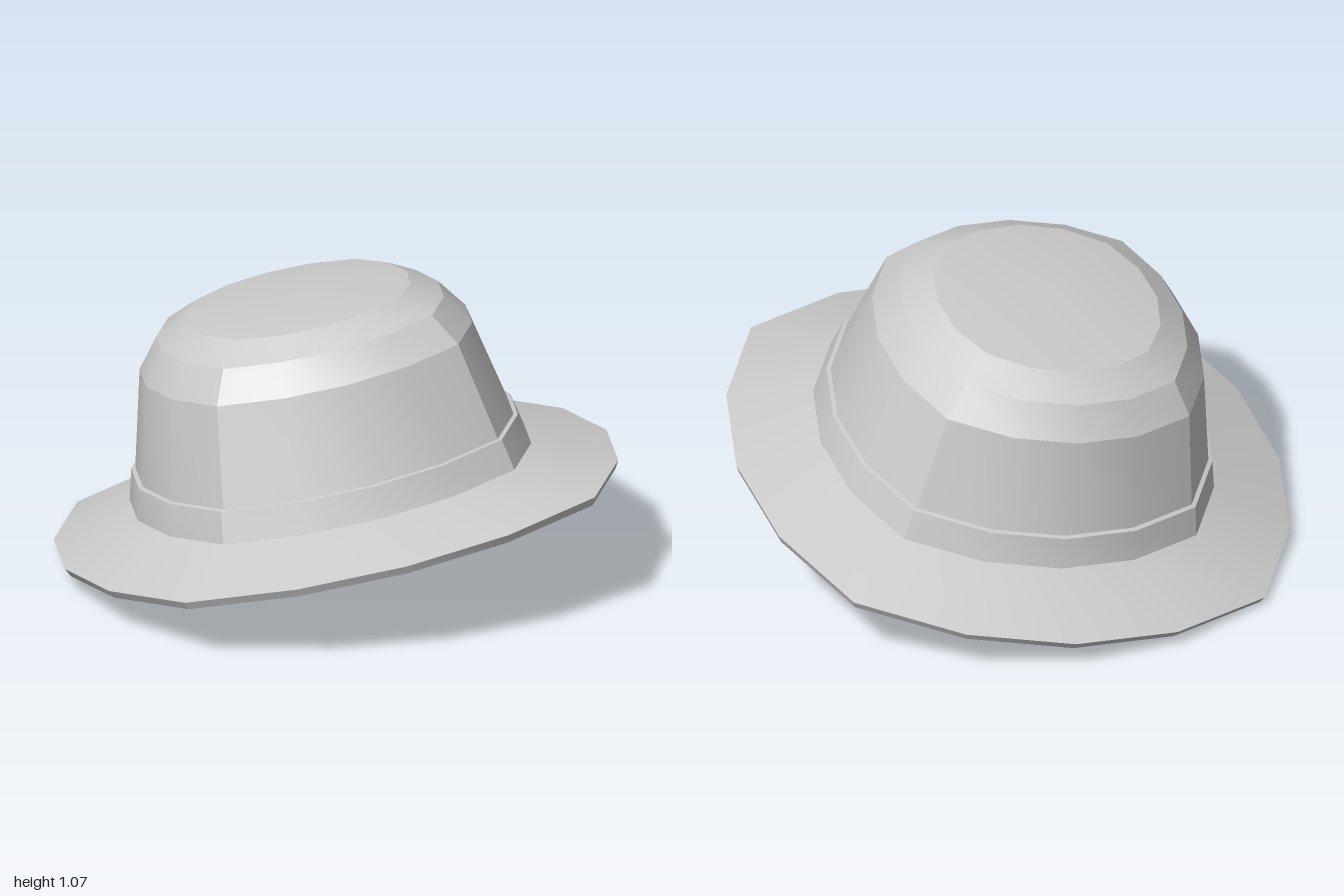
import * as THREE from 'three';
import { toCreasedNormals } from 'three/addons/utils/BufferGeometryUtils.js';

const SIDES = 16;
const CREASE = 0.33; // keeps the four diagonal corners and the rings sharp

// Sixteen-sided lathe whose diagonals are pushed out into a rounded square;
// the rings get rounder towards the top of the crown.
function squaredLathe(name, profile) {
  const points = profile.map(([r, h]) => new THREE.Vector2(r, h));
  const lathe = new THREE.LatheGeometry(points, SIDES);
  const pos = lathe.attributes.position;
  for (let i = 0; i < pos.count; i++) {
    const x = pos.getX(i), z = pos.getZ(i);
    const squareness = 0.07 * THREE.MathUtils.smoothstep(Math.hypot(x, z), 0.3, 0.52);
    const scale = 1 + squareness * Math.sin(2 * Math.atan2(x, z)) ** 4;
    pos.setX(i, x * scale);
    pos.setZ(i, z * scale);
  }
  const mesh = new THREE.Mesh(
    toCreasedNormals(lathe, CREASE),
    new THREE.MeshStandardMaterial({ color: 0xcccccc })
  );
  mesh.name = name;
  return mesh;
}

export function createModel() {
  const model = new THREE.Group();
  model.name = 'bucketHat';

  // the whole hat leans back and to its right
  const hat = new THREE.Group();
  hat.name = 'tiltedHat';
  hat.position.y = 0.24;
  hat.quaternion.setFromUnitVectors(
    new THREE.Vector3(0, 1, 0),
    new THREE.Vector3(-0.16, 1, -0.13).normalize()
  );
  model.add(hat);

  // profiles are [radius, height]; outer faces run upwards
  hat.add(
    // sloping brim with a thin rim and a flat lip around the opening
    squaredLathe('brim', [
      [0.6, 0.075], [0.7, 0.07], [0.995, -0.03], [1.01, 0], [0.71, 0.11],
    ]),
    // crown wall, two bevel rings and a shallow top
    squaredLathe('crown', [
      [0.705, 0.1], [0.595, 0.58], [0.515, 0.69], [0.41, 0.755], [0, 0.8],
    ]),
    // raised band at the foot of the crown
    squaredLathe('hatBand', [
      [0.72, 0.1], [0.692, 0.22], [0.67, 0.225],
    ]),
    // inside surface of the crown, facing inwards
    squaredLathe('lining', [
      [0, 0.76], [0.38, 0.715], [0.475, 0.655], [0.55, 0.56], [0.6, 0.075],
    ])
  );
  return model;
}
